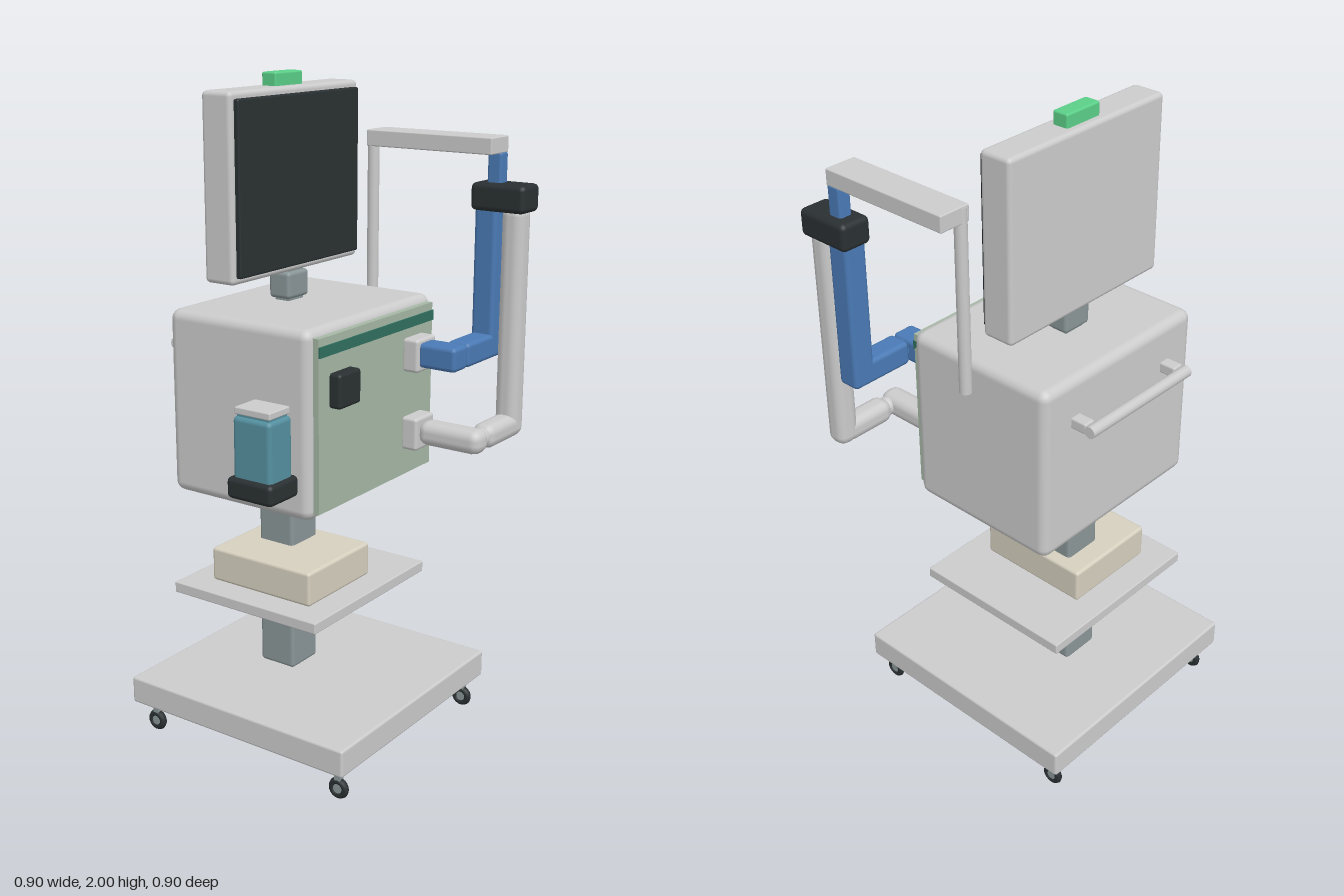
import * as THREE from 'three';
import { RoundedBoxGeometry } from 'three/addons/geometries/RoundedBoxGeometry.js';

const COLORS = {
  grey: 0xcccccc, steel: 0x8a9698, dark: 0x2a3032, blue: 0x4a7ab5, teal: 0x5590a0,
  panel: 0xa5b8a5, stripe: 0x2f6f5f, beige: 0xd6d0bf, green: 0x5bd088,
};

export function createModel() {
  const model = new THREE.Group();
  const materials = {};
  for (const key in COLORS) materials[key] = new THREE.MeshStandardMaterial({ color: COLORS[key] });

  const add = (name, geometry, color, x, y, z, parent = model) => {
    const mesh = new THREE.Mesh(geometry, materials[color]);
    mesh.name = name;
    mesh.position.set(x, y, z);
    parent.add(mesh);
    return mesh;
  };
  // Box given by its extents on each axis, with rounded edges when r > 0
  const box = (name, color, [x0, x1], [y0, y1], [z0, z1], r = 0, parent = model) => {
    const size = [x1 - x0, y1 - y0, z1 - z0];
    const geometry = r ? new RoundedBoxGeometry(...size, 2, r) : new THREE.BoxGeometry(...size);
    return add(name, geometry, color, (x0 + x1) / 2, (y0 + y1) / 2, (z0 + z1) / 2, parent);
  };
  const group = (name) => {
    const g = new THREE.Group();
    g.name = name;
    model.add(g);
    return g;
  };

  // Rolling base
  box('base', 'grey', [-0.395, 0.395], [0.1, 0.185], [-0.45, 0.34], 0.008);
  for (const x of [-0.345, 0.345]) {
    for (const z of [-0.395, 0.295]) {
      const caster = group('caster');
      box('casterStem', 'steel', [x - 0.009, x + 0.009], [0.055, 0.1], [z - 0.01, z + 0.01], 0, caster);
      const wheel = new THREE.CylinderGeometry(0.022, 0.022, 0.016, 16).rotateZ(Math.PI / 2);
      add('casterWheel', wheel, 'steel', x, 0.034, z, caster);
      const tyre = new THREE.TorusGeometry(0.022, 0.011, 8, 20).rotateY(Math.PI / 2);
      add('casterTyre', tyre, 'dark', x, 0.034, z, caster);
    }
  }

  // Column, shelf and the case lying on it
  box('column', 'steel', [-0.064, 0.064], [0.185, 0.805], [-0.204, -0.077], 0.012);
  box('shelf', 'grey', [-0.29, 0.29], [0.456, 0.49], [-0.355, 0.172], 0.004);
  box('shelfCase', 'beige', [-0.21, 0.103], [0.49, 0.596], [-0.272, 0.093], 0.01);

  // Main housing with its front panel
  box('housing', 'grey', [-0.314, 0.314], [0.8, 1.348], [-0.328, 0.169], 0.03);
  box('frontPanel', 'panel', [-0.29, 0.29], [0.823, 1.325], [0.16, 0.186]);
  box('panelStripe', 'stripe', [-0.29, 0.29], [1.272, 1.302], [0.17, 0.191]);
  box('knob', 'dark', [-0.24, -0.136], [1.12, 1.22], [0.18, 0.222], 0.01);

  // Rear push handle
  const handle = group('rearHandle');
  for (const x of [-0.192, 0.19]) {
    box('handleMount', 'grey', [x - 0.019, x + 0.019], [1.199, 1.232], [-0.378, -0.32], 0.006, handle);
  }
  const bar = new THREE.CylinderGeometry(0.018, 0.018, 0.422, 12).rotateZ(Math.PI / 2);
  add('handleBar', bar, 'grey', 0, 1.215, -0.393, handle);

  // Monitor
  box('monitorNeck', 'steel', [-0.05, 0.05], [1.355, 1.435], [-0.168, -0.093], 0.012);
  box('monitorNeckCore', 'steel', [-0.035, 0.035], [1.33, 1.46], [-0.155, -0.105]);
  box('monitor', 'grey', [-0.302, 0.302], [1.436, 1.962], [-0.198, -0.096], 0.014);
  box('screen', 'dark', [-0.285, 0.285], [1.455, 1.942], [-0.11, -0.081], 0.006);
  box('statusLight', 'green', [-0.064, 0.064], [1.955, 2.0], [-0.174, -0.124], 0.006);

  // Side container in its holder
  const container = group('sideContainer');
  box('containerHolder', 'dark', [-0.45, -0.32], [0.88, 0.942], [-0.014, 0.142], 0.014, container);
  box('containerBody', 'teal', [-0.436, -0.333], [0.925, 1.115], [0.0, 0.13], 0.014, container);
  box('containerNeck', 'teal', [-0.425, -0.345], [1.1, 1.125], [0.01, 0.12], 0, container);
  box('containerCap', 'grey', [-0.43, -0.338], [1.12, 1.141], [0.004, 0.125], 0.004, container);

  // Support pole and overhead arm
  add('pole', new THREE.CylinderGeometry(0.018, 0.018, 0.55, 16), 'grey', 0.336, 1.535, -0.06);
  box('overheadArm', 'grey', [0.318, 0.42], [1.767, 1.816], [-0.075, 0.354], 0.004);
  box('armHanger', 'blue', [0.375, 0.418], [1.67, 1.77], [0.31, 0.356], 0.008);
  box('hoseManifold', 'dark', [0.347, 0.447], [1.6, 1.682], [0.27, 0.448], 0.016);

  // Two hoses, each dropping from the manifold and turning in to a port
  const hoses = [
    { name: 'greyHose', color: 'grey', y: 0.957, z: 0.4, round: 0.03 },
    { name: 'blueHose', color: 'blue', y: 1.196, z: 0.316, round: 0.014 },
  ];
  for (const { name, color, y, z, round } of hoses) {
    const hose = group(name);
    const r = 0.037;
    const ys = [y - r, y + r];
    box('hoseDrop', color, [0.36, 0.434], [y - r, 1.62], [z - r, z + r], round, hose);
    box('hoseCross', color, [0.224, 0.41], ys, [z - r, z + r], round, hose);
    box('hoseInlet', color, [0.146, 0.222], ys, [0.225, z + r], round, hose);
    add('hoseJoint', new THREE.SphereGeometry(0.03, 16, 12), color, 0.222, y, z, hose);
    box('hosePort', 'grey', [0.134, 0.236], [y - 0.052, y + 0.048], [0.18, 0.235], 0.01, hose);
  }
  return model;
}
